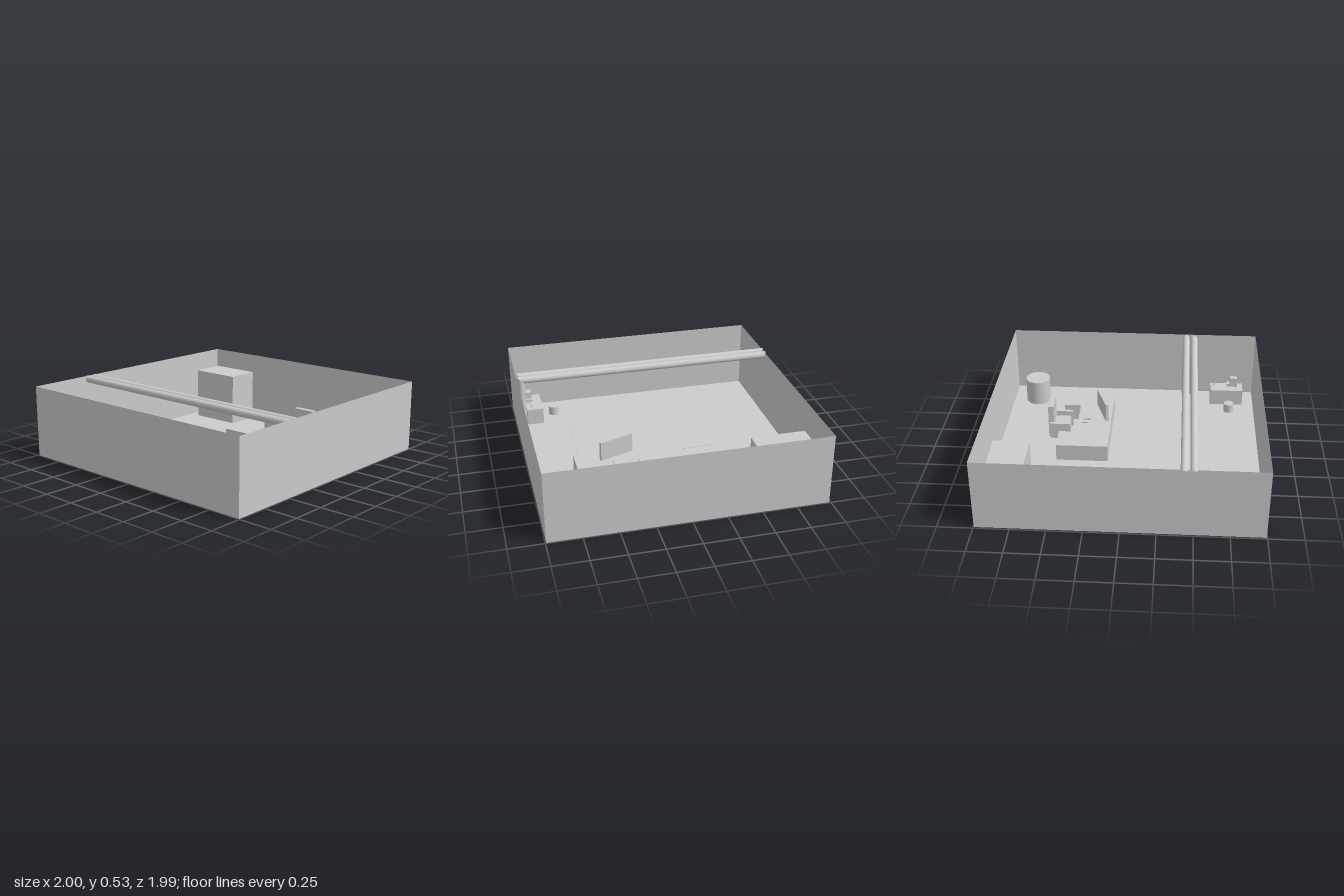
import * as THREE from 'three';

const mat = new THREE.MeshStandardMaterial({ color: 0xcccccc });
const thin = new THREE.MeshStandardMaterial({ color: 0xcccccc, side: THREE.DoubleSide });

function add(parent, name, geometry, x = 0, y = 0, z = 0, material = mat) {
  const mesh = new THREE.Mesh(geometry, material);
  mesh.name = name;
  mesh.position.set(x, y, z);
  parent.add(mesh);
  return mesh;
}

// Box given by its limits on each axis
function block(parent, name, [x0, x1], [y0, y1], [z0, z1]) {
  return add(parent, name, new THREE.BoxGeometry(x1 - x0, y1 - y0, z1 - z0),
    (x0 + x1) / 2, (y0 + y1) / 2, (z0 + z1) / 2);
}

function group(parent, name) {
  const g = new THREE.Group();
  g.name = name;
  parent.add(g);
  return g;
}

export function createModel() {
  const model = new THREE.Group();
  model.name = 'officeRoom';

  // Room shell: floor and four thin walls, open at the top
  const x0 = -0.988, x1 = 0.995, zEdge = 0.995, wallHeight = 0.53;
  const width = x1 - x0, midX = (x0 + x1) / 2;
  const room = group(model, 'room');
  add(room, 'floor', new THREE.PlaneGeometry(width, zEdge * 2).rotateX(-Math.PI / 2), midX, 0, 0, thin);
  for (const s of [-1, 1]) {
    add(room, s > 0 ? 'frontWall' : 'backWall',
      new THREE.PlaneGeometry(width, wallHeight).rotateY(s > 0 ? 0 : Math.PI),
      midX, wallHeight / 2, s * zEdge, thin);
    add(room, s > 0 ? 'leftWall' : 'rightWall',
      new THREE.PlaneGeometry(zEdge * 2, wallHeight).rotateY(s * Math.PI / 2),
      s > 0 ? x1 : x0, wallHeight / 2, 0, thin);
  }

  // Rug
  block(model, 'rug', [-0.435, 0.6], [0, 0.003], [-0.03, 0.545]);

  // Tall cabinet and round bin in the back corners
  block(model, 'cabinet', [-0.91, -0.51], [0, 0.4], [-0.92, -0.66]);
  add(model, 'bin', new THREE.CylinderGeometry(0.098, 0.098, 0.2, 40), 0.785, 0.1, -0.795);

  // U-shaped desk, extruded upward from its plan
  const desk = group(model, 'desk');
  const plan = new THREE.Shape([
    [-0.13, 0.145], [0.67, 0.145], [0.67, 0.535], [0.47, 0.535],
    [0.47, 0.405], [0.07, 0.405], [0.07, 0.535], [-0.13, 0.535],
  ].map(([x, y]) => new THREE.Vector2(x, y)));
  const deskTop = 0.13;
  add(desk, 'deskBody', new THREE.ExtrudeGeometry(plan, { depth: deskTop, bevelEnabled: false })
    .rotateX(-Math.PI / 2));
  const screen = add(desk, 'monitor', new THREE.BoxGeometry(0.265, 0.145, 0.022), 0.363, deskTop + 0.0725, -0.218);
  screen.rotation.y = 0.34;
  block(desk, 'keyboard', [0.25, 0.405], [deskTop, deskTop + 0.01], [-0.365, -0.308]);
  block(desk, 'mouse', [0.2, 0.22], [deskTop, deskTop + 0.01], [-0.37, -0.328]);

  // Armchair behind the desk
  const chair = group(model, 'chair');
  block(chair, 'seat', [0.2, 0.37], [0, 0.09], [-0.59, -0.475]);
  block(chair, 'backrest', [0.2, 0.37], [0, 0.265], [-0.632, -0.59]);
  block(chair, 'rightArm', [0.175, 0.2], [0, 0.13], [-0.62, -0.46]);
  block(chair, 'leftArm', [0.37, 0.395], [0, 0.13], [-0.62, -0.46]);

  // Twin pipes: a run under the wall top with a drop at the left wall
  const r = 0.027, pipeY = 0.503, dropX = 0.958;
  for (const [i, z] of [0.428, 0.492].entries()) {
    const pipe = group(model, 'pipe' + (i + 1));
    const run = new THREE.CylinderGeometry(r, r, dropX + r + 1, 24).rotateZ(Math.PI / 2);
    const p = run.attributes.position;
    // Slant the outer end and mitre the elbow end
    for (let k = 0; k < p.count; k++) {
      const end = (dropX + r + 1) / 2;
      if (p.getX(k) < 0) p.setX(k, -end + (r - p.getY(k)) * 0.25);
      else p.setX(k, end - (r - p.getY(k)));
    }
    add(pipe, 'pipeRun', run, (dropX + r - 1) / 2, pipeY, z);
    const drop = new THREE.CylinderGeometry(r, r, pipeY, 24);
    const d = drop.attributes.position;
    for (let k = 0; k < d.count; k++) {
      if (d.getY(k) > 0) d.setY(k, pipeY / 2 + d.getX(k));
    }
    add(pipe, 'pipeDrop', drop, dropX, pipeY / 2, z);
  }

  // Small side table with a telephone and a pen, and a round stool
  const table = group(model, 'sideTable');
  const top = 0.13;
  block(table, 'tableBody', [0.78, 0.908], [0, top], [0.64, 0.905]);
  block(table, 'deviceBase', [0.85, 0.897], [top, top + 0.025], [0.775, 0.862]);
  block(table, 'deviceBody', [0.852, 0.895], [top + 0.025, top + 0.075], [0.8, 0.858]);
  const pen = add(table, 'pen', new THREE.CylinderGeometry(0.005, 0.005, 0.042, 12), 0.868, top + 0.02, 0.675);
  pen.rotation.set(0.4, 0, -0.25);
  add(model, 'stool', new THREE.CylinderGeometry(0.039, 0.039, 0.07, 32), 0.68, 0.035, 0.79);

  return model;
}
